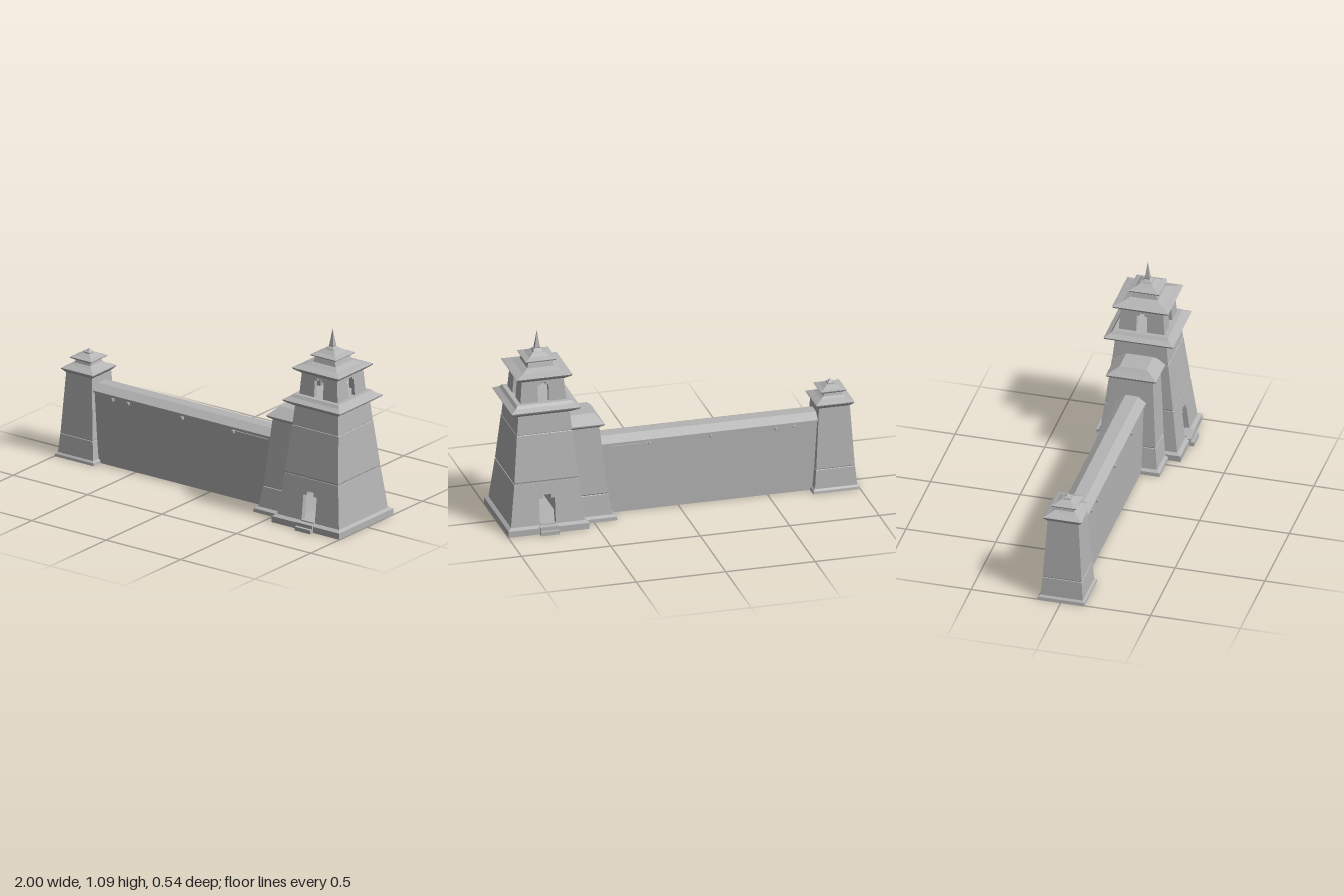
import * as THREE from 'three';

const stone = new THREE.MeshStandardMaterial({ color: 0xb4b4b4, side: THREE.DoubleSide });
stone.name = 'grey stone';

function add(parent, name, geometry, x = 0, y = 0, z = 0) {
  const mesh = new THREE.Mesh(geometry, stone);
  mesh.name = name;
  mesh.position.set(x, y, z);
  parent.add(mesh);
  return mesh;
}

// Rectangular loft through rings of [height, half width, half depth]
function loft(rings, closedBottom = true) {
  const corners = rings.map(([y, hx, hz = hx]) =>
    [[1, 1], [1, -1], [-1, -1], [-1, 1]].map(([sx, sz]) => [sx * hx, y, sz * hz]));
  const pos = [];
  const quad = (a, b, c, d) => pos.push(...a, ...b, ...c, ...a, ...c, ...d);
  for (let i = 0; i < corners.length - 1; i++) {
    for (let k = 0; k < 4; k++) {
      const n = (k + 1) % 4;
      quad(corners[i][k], corners[i][n], corners[i + 1][n], corners[i + 1][k]);
    }
  }
  quad(...corners[corners.length - 1]);
  if (closedBottom) quad(...[...corners[0]].reverse());
  const g = new THREE.BufferGeometry();
  g.setAttribute('position', new THREE.Float32BufferAttribute(pos, 3));
  g.computeVertexNormals();
  return g;
}

// Leaning wall panel with mitred ends and an optional stepped opening
function panel(y0, y1, w0, w1, d0, d1, t, opening) {
  const pts = [[-w0, y0]];
  if (opening) {
    const { half: b, neck: n, shoulder: s, top } = opening;
    pts.push([-b, y0], [-b, s], [-n, s], [-n, top], [n, top], [n, s], [b, s], [b, y0]);
  }
  pts.push([w0, y0], [w1, y1], [-w1, y1]);
  const shape = new THREE.Shape(pts.map(p => new THREE.Vector2(...p)));
  const g = new THREE.ExtrudeGeometry(shape, { depth: t, bevelEnabled: false });
  const p = g.attributes.position;
  for (let i = 0; i < p.count; i++) {
    const x = p.getX(i), z = p.getZ(i), f = (p.getY(i) - y0) / (y1 - y0);
    const w = w0 + (w1 - w0) * f, d = d0 + (d1 - d0) * f;
    if (Math.abs(x) > 0.8 * w && z < t / 2) p.setX(i, x - Math.sign(x) * t);
    p.setZ(i, d - t + z);
  }
  g.computeVertexNormals();
  return g;
}

// Four panels around a hollow storey
function storey(parent, name, y0, y1, x0, x1, z0, z1, t, frontOpening, sideOpening) {
  for (let k = 0; k < 4; k++) {
    const side = k % 2 === 1;
    const g = side ? panel(y0, y1, z0, z1, x0, x1, t, sideOpening)
      : panel(y0, y1, x0, x1, z0, z1, t, frontOpening);
    add(parent, name, g).rotation.y = k * Math.PI / 2;
  }
}

function buildGateTower() {
  const g = new THREE.Group();
  g.name = 'gateTower';
  add(g, 'plinth', loft([[0, 0.226, 0.244], [0.035, 0.226, 0.244], [0.045, 0.21, 0.225]], false));
  const door = { half: 0.045, neck: 0.023, shoulder: 0.188, top: 0.21 };
  storey(g, 'lowerWall', 0.045, 0.28, 0.207, 0.18, 0.22, 0.191, 0.03, door);
  add(g, 'middleWalls', loft([
    [0.28, 0.176, 0.187], [0.286, 0.176, 0.187], [0.29, 0.179, 0.189],
    [0.548, 0.156, 0.157], [0.551, 0.153, 0.154], [0.554, 0.154, 0.155], [0.665, 0.144]]));
  add(g, 'lowerRoof', loft([
    [0.66, 0.148], [0.687, 0.19], [0.696, 0.194], [0.699, 0.188], [0.711, 0.165], [0.726, 0.152]]));
  const win = { half: 0.03, neck: 0.014, shoulder: 0.82, top: 0.834 };
  storey(g, 'lookoutWall', 0.725, 0.85, 0.128, 0.118, 0.128, 0.118, 0.022, win, win);
  add(g, 'upperRoof', loft([
    [0.847, 0.122], [0.868, 0.152], [0.877, 0.157], [0.881, 0.145], [0.89, 0.11], [0.905, 0.077]]));
  add(g, 'roofNeck', loft([[0.9, 0.076], [0.935, 0.066]]));
  add(g, 'topRoof', loft([
    [0.932, 0.066], [0.941, 0.084], [0.947, 0.086], [0.957, 0.056], [0.972, 0.034]]));
  add(g, 'spireFoot', loft([[0.97, 0.031], [0.98, 0.025], [0.99, 0.014]]));
  add(g, 'spire', loft([[0.985, 0.011], [0.995, 0.014], [1.04, 0.007], [1.09, 0.0005]]));
  // Steps and thresholds at both doors
  for (const s of [1, -1]) {
    add(g, 'lowerStep', new THREE.BoxGeometry(0.105, 0.022, 0.04), 0, 0.011, s * 0.252);
    add(g, 'upperStep', new THREE.BoxGeometry(0.105, 0.02, 0.04), 0, 0.032, s * 0.234);
    add(g, 'threshold', new THREE.BoxGeometry(0.085, 0.006, 0.03), 0, 0.048, s * 0.213);
  }
  g.position.x = 0.772;
  return g;
}

function buildButtress() {
  const g = new THREE.Group();
  g.name = 'buttress';
  add(g, 'plinth', loft([[0, 0.17, 0.175], [0.02, 0.168, 0.174], [0.03, 0.152, 0.158]], false));
  add(g, 'body', loft([
    [0.03, 0.15, 0.155], [0.145, 0.129, 0.142], [0.148, 0.125, 0.138], [0.153, 0.128, 0.141],
    [0.53, 0.086, 0.115], [0.55, 0.086, 0.115]]));
  add(g, 'roof', loft([
    [0.533, 0.087, 0.117], [0.548, 0.108, 0.138], [0.556, 0.11, 0.14],
    [0.58, 0.086, 0.105], [0.6, 0.068, 0.075]]));
  g.position.x = 0.54;
  return g;
}

function buildEndTower() {
  const g = new THREE.Group();
  g.name = 'endTower';
  add(g, 'plinth', loft([[0, 0.131], [0.014, 0.129], [0.023, 0.12]]));
  add(g, 'body', loft([
    [0.02, 0.118], [0.128, 0.109], [0.131, 0.106], [0.135, 0.108], [0.485, 0.086]]));
  add(g, 'lowerRoof', loft([
    [0.48, 0.088], [0.498, 0.105], [0.505, 0.107], [0.51, 0.098], [0.522, 0.07], [0.533, 0.054]]));
  add(g, 'roofNeck', loft([[0.53, 0.054], [0.552, 0.049]]));
  add(g, 'upperRoof', loft([
    [0.548, 0.052], [0.559, 0.07], [0.565, 0.072], [0.572, 0.05], [0.585, 0.026]]));
  add(g, 'finial', loft([[0.583, 0.02], [0.592, 0.019], [0.597, 0.011], [0.61, 0.001]]));
  g.position.x = -0.868;
  return g;
}

function buildWall() {
  const g = new THREE.Group();
  g.name = 'curtainWall';
  const length = 1.34, centre = -0.15;
  add(g, 'wallBody', new THREE.BoxGeometry(length, 0.405, 0.136), centre, 0.2025, 0);
  // Ridged coping with sloping sides
  const coping = new THREE.Shape([
    [-0.08, 0.4], [0.08, 0.4], [0.08, 0.41], [0.035, 0.442], [-0.035, 0.442], [-0.08, 0.41],
  ].map(p => new THREE.Vector2(...p)));
  const cg = new THREE.ExtrudeGeometry(coping, { depth: length, bevelEnabled: false });
  cg.rotateY(Math.PI / 2);
  add(g, 'coping', cg, centre - length / 2, 0, 0);
  // Small pegs under the coping on both faces
  for (const s of [1, -1]) {
    for (const x of [-0.65, -0.545, -0.183, 0.16]) {
      add(g, 'peg', new THREE.BoxGeometry(0.014, 0.014, 0.02), x, 0.384, s * 0.074);
    }
    add(g, 'rail', new THREE.BoxGeometry(0.225, 0.005, 0.008), 0.273, 0.387, s * 0.07);
  }
  return g;
}

export function createModel() {
  const model = new THREE.Group();
  model.name = 'gatehouseWithWall';
  model.add(buildGateTower(), buildButtress(), buildWall(), buildEndTower());
  return model;
}
